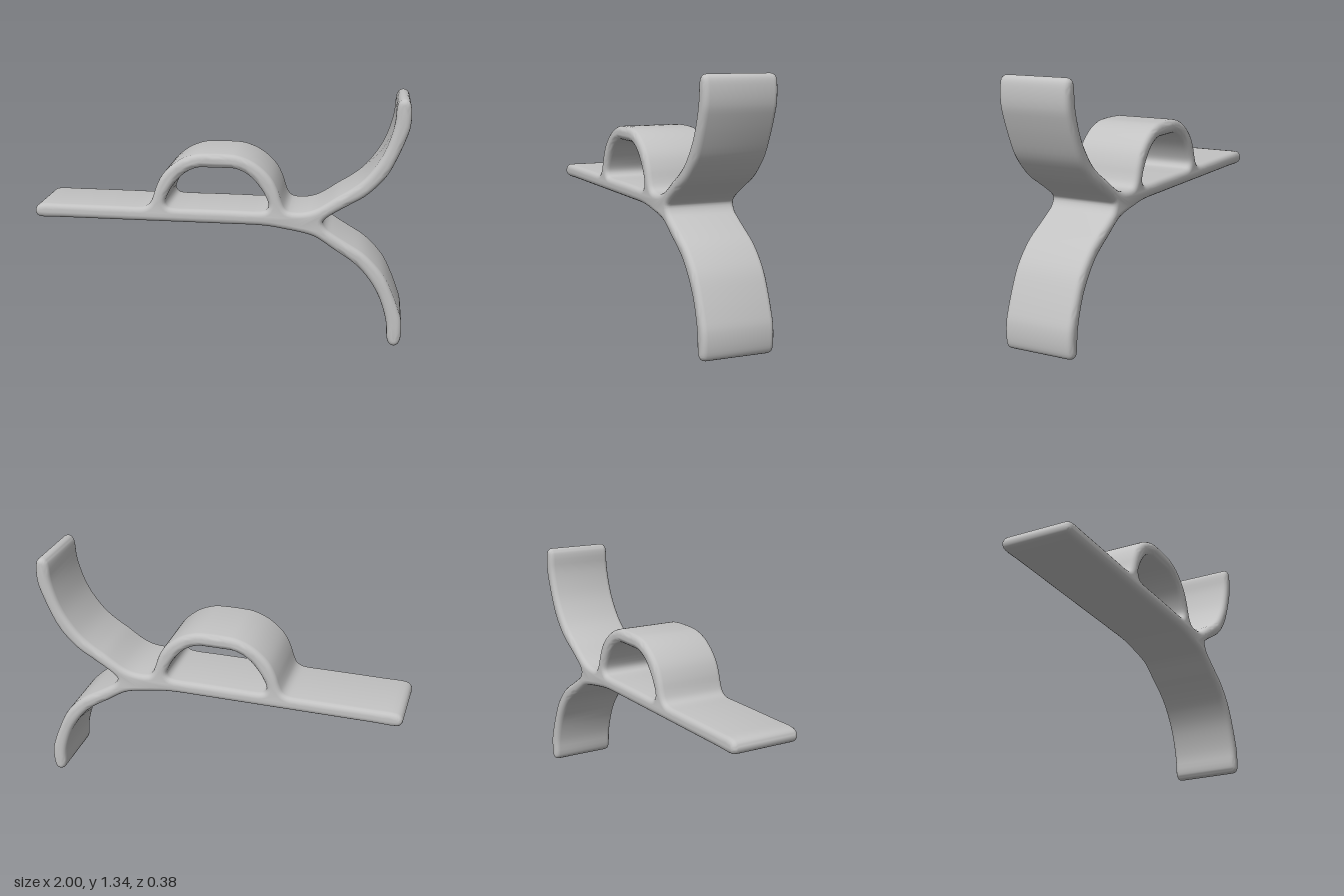
import * as THREE from 'three';
import { toCreasedNormals } from 'three/addons/utils/BufferGeometryUtils.js';

const DEPTH = 0.384; // width of the band, along z
const BEVEL = 0.028; // rounding of the band's edges
const MID = 0.67; // height of the line the two fork arms mirror about

// Smooth closed loop through [x, y] points
function smoothLoop(points) {
  const curve = new THREE.CatmullRomCurve3(points.map(([x, y]) => new THREE.Vector3(x, y, 0)), true, 'centripetal');
  return curve.getPoints(points.length * 3).slice(0, -1).map((p) => new THREE.Vector2(p.x, p.y));
}

// Adds the mirror image in x, so a left half becomes a full arch
const mirrorX = (half) => [...half, ...half.map(([x, y]) => [-x, y]).reverse()];

export function createModel() {
  const grey = new THREE.MeshStandardMaterial({ color: 0xc2c2c2 });
  grey.name = 'plain grey';

  // Rounded free end of the flat strip
  const stripEnd = [
    [-0.85, 0.647], [-0.97, 0.647], [-0.992, 0.658], [-1, 0.682], [-0.99, 0.706], [-0.965, 0.72], [-0.85, 0.722],
  ];

  // Outside of the arched loop, from its left foot to its right foot
  const archOuter = mirrorX([
    [-0.5, 0.722], [-0.42, 0.722], [-0.385, 0.728], [-0.362, 0.745], [-0.345, 0.78], [-0.327, 0.836],
    [-0.295, 0.9], [-0.246, 0.953], [-0.185, 0.995], [-0.11, 1.022], [-0.05, 1.027],
  ]).slice(0, -2);

  // Upper fork arm: left face, rounded tip, then right face down to the crotch
  const armUp = [
    [0.46, 0.726], [0.52, 0.743], [0.575, 0.775], [0.63, 0.813], [0.69, 0.85], [0.76, 0.904], [0.815, 0.968],
    [0.865, 1.048], [0.9, 1.139], [0.919, 1.22], [0.925, 1.3], [0.937, 1.329], [0.961, 1.34], [0.986, 1.328],
    [0.998, 1.29], [0.997, 1.2], [0.978, 1.134], [0.938, 1.033], [0.895, 0.947], [0.843, 0.882],
    [0.779, 0.823], [0.699, 0.774], [0.624, 0.728], [0.582, 0.698],
  ];
  const armDown = armUp.map(([x, y]) => [x, 2 * MID - y]).reverse();

  // Underside from the fork back to the strip
  const underside = [[0.37, 0.63], [0.28, 0.643], [0.2, 0.647], [0.1, 0.647]];

  const outline = new THREE.Shape(
    smoothLoop([...stripEnd, ...archOuter, ...armUp, [0.566, 0.676], ...armDown, ...underside]),
  );

  // Opening between the arch and the strip, wound against the outline
  outline.holes.push(new THREE.Path(smoothLoop(mirrorX([
    [-0.1, 0.722], [-0.23, 0.722], [-0.264, 0.73], [-0.278, 0.755], [-0.264, 0.8], [-0.222, 0.866],
    [-0.168, 0.92], [-0.1, 0.95], [-0.04, 0.952],
  ])).reverse()));

  // The whole band is one rounded extrusion
  const geometry = new THREE.ExtrudeGeometry(outline, {
    depth: DEPTH - 2 * BEVEL,
    bevelEnabled: true,
    bevelThickness: BEVEL,
    bevelSize: BEVEL,
    bevelOffset: -BEVEL,
    bevelSegments: 4,
  });
  geometry.translate(0, 0, BEVEL - DEPTH / 2);

  const band = new THREE.Mesh(toCreasedNormals(geometry, 0.9), grey);
  band.name = 'forkedBand';

  const model = new THREE.Group();
  model.name = 'forkedBandWithLoop';
  model.add(band);
  return model;
}
